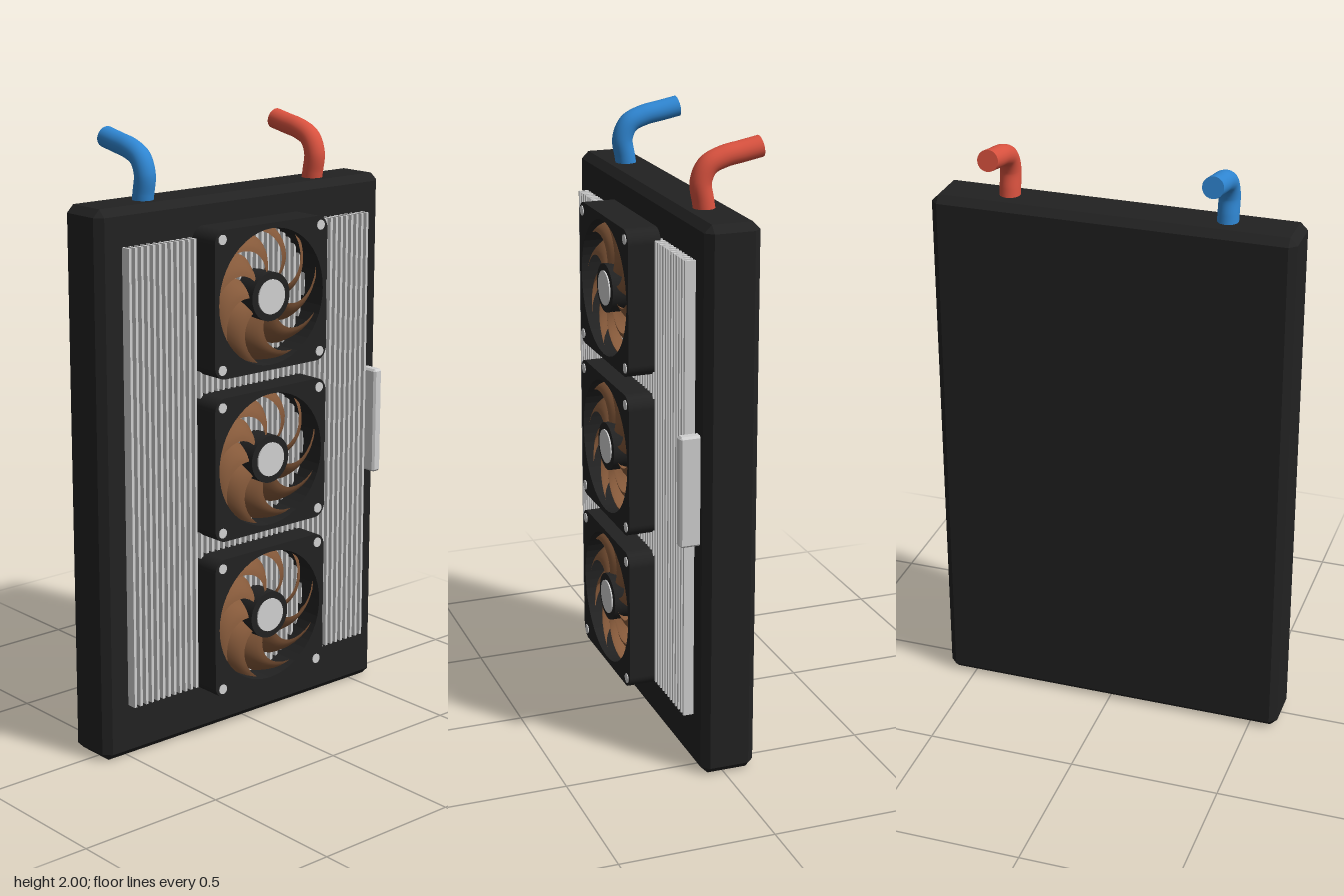
import * as THREE from 'three';
import { ConvexGeometry } from 'three/addons/geometries/ConvexGeometry.js';

const mat = (name, color, side = THREE.FrontSide) => {
  const m = new THREE.MeshStandardMaterial({ color, side });
  m.name = name;
  return m;
};

// Box with every edge cut at 45 degrees
function chamferBox(w, h, d, c) {
  const pts = [];
  for (const x of [-1, 1]) for (const y of [-1, 1]) for (const z of [-1, 1])
    for (let k = 0; k < 3; k++)
      pts.push(new THREE.Vector3(
        x * (w / 2 - (k === 0 ? 0 : c)),
        y * (h / 2 - (k === 1 ? 0 : c)),
        z * (d / 2 - (k === 2 ? 0 : c))));
  return new ConvexGeometry(pts);
}

// Rounded square with a round opening, extruded along z
function frameGeometry(half, corner, hole, depth) {
  const s = new THREE.Shape();
  const i = half - corner;
  s.absarc(i, i, corner, 0, Math.PI / 2);
  s.absarc(-i, i, corner, Math.PI / 2, Math.PI);
  s.absarc(-i, -i, corner, Math.PI, Math.PI * 1.5);
  s.absarc(i, -i, corner, Math.PI * 1.5, Math.PI * 2);
  s.closePath();
  const p = new THREE.Path();
  p.absarc(0, 0, hole, 0, Math.PI * 2, true);
  s.holes.push(p);
  return new THREE.ExtrudeGeometry(s, { depth, bevelEnabled: false, curveSegments: 24 });
}

// Swept, pitched and slightly cambered fan blade
function bladeGeometry() {
  const g = new THREE.PlaneGeometry(1, 1, 10, 6);
  const p = g.attributes.position;
  for (let i = 0; i < p.count; i++) {
    const t = p.getX(i) + 0.5, v = p.getY(i);
    const r = 0.07 + 0.146 * t;
    const a = 0.75 * t * t + v * (0.6 - 0.06 * t);
    const z = v * 0.06 + 0.012 * (1 - 4 * v * v);
    p.setXYZ(i, r * Math.cos(a), r * Math.sin(a), z);
  }
  g.computeVertexNormals();
  return g;
}

export function createModel() {
  const root = new THREE.Group();
  root.name = 'fanCooledRadiator';

  const black = mat('black casing', 0x222222);
  const silver = mat('silver metal', 0xd0d0d0);
  const brown = mat('brown blades', 0x85593a, THREE.DoubleSide);
  const blue = mat('blue pipe', 0x2f86d2);
  const red = mat('red pipe', 0xd9523f);

  const add = (parent, name, geometry, material, x = 0, y = 0, z = 0) => {
    const m = new THREE.Mesh(geometry, material);
    m.name = name;
    m.position.set(x, y, z);
    parent.add(m);
    return m;
  };
  // Cylinder pointing along z
  const disc = (r, depth) => new THREE.CylinderGeometry(r, r, depth, 32).rotateX(Math.PI / 2);

  // Main slab
  add(root, 'body', chamferBox(1.188, 1.79, 0.178, 0.024), black, 0, 0.895, -0.015);

  // Row of upright cooling fins
  const fins = new THREE.Group();
  fins.name = 'coolingFins';
  root.add(fins);
  const finGeo = new THREE.BoxGeometry(0.0095, 1.49, 0.045);
  const count = 44;
  for (let i = 0; i < count; i++)
    add(fins, 'fin', finGeo, silver, -0.5 + i / (count - 1), 0.925, 0.0855);

  // Three identical fans
  const frameGeo = frameGeometry(0.237, 0.043, 0.22, 0.107);
  const bladeGeo = bladeGeometry();
  const hubGeo = disc(0.079, 0.085);
  const capGeo = disc(0.056, 0.006);
  const screwGeo = disc(0.016, 0.008);
  for (const y of [0.398, 0.932, 1.467]) {
    const fan = new THREE.Group();
    fan.name = 'fan';
    fan.position.set(0, y, 0);
    root.add(fan);
    add(fan, 'fanFrame', frameGeo, black, 0, 0, 0.086);
    add(fan, 'fanHub', hubGeo, black, 0, 0, 0.146);
    add(fan, 'hubCap', capGeo, silver, 0, 0, 0.19);
    for (let i = 0; i < 9; i++)
      add(fan, 'fanBlade', bladeGeo, brown, 0, 0, 0.145).rotation.z = i * Math.PI * 2 / 9;
    for (const sx of [-1, 1]) for (const sy of [-1, 1])
      add(fan, 'screw', screwGeo, silver, sx * 0.207, sy * 0.207, 0.192);
  }

  // Side handle
  add(root, 'handle', chamferBox(0.036, 0.36, 0.075, 0.007), silver, 0.535, 0.955, 0.102);

  // Bent coolant pipes with closed ends
  const path = new THREE.CatmullRomCurve3([
    [1.76, -0.014], [1.81, -0.006], [1.87, 0.002], [1.918, -0.02],
    [1.942, -0.07], [1.954, -0.13], [1.966, -0.191],
  ].map(([y, z]) => new THREE.Vector3(0, y, z)));
  const pipeGeo = new THREE.TubeGeometry(path, 40, 0.034, 24);
  const endGeo = new THREE.CircleGeometry(0.034, 24);
  for (const [name, x, m] of [['coldPipe', -0.356, blue], ['hotPipe', 0.356, red]]) {
    const pipe = new THREE.Group();
    pipe.name = name;
    pipe.position.x = x;
    root.add(pipe);
    add(pipe, 'pipeTube', pipeGeo, m);
    const end = add(pipe, 'pipeEnd', endGeo, m);
    end.position.copy(path.getPoint(1));
    end.quaternion.setFromUnitVectors(new THREE.Vector3(0, 0, 1), path.getTangent(1));
  }
  return root;
}
